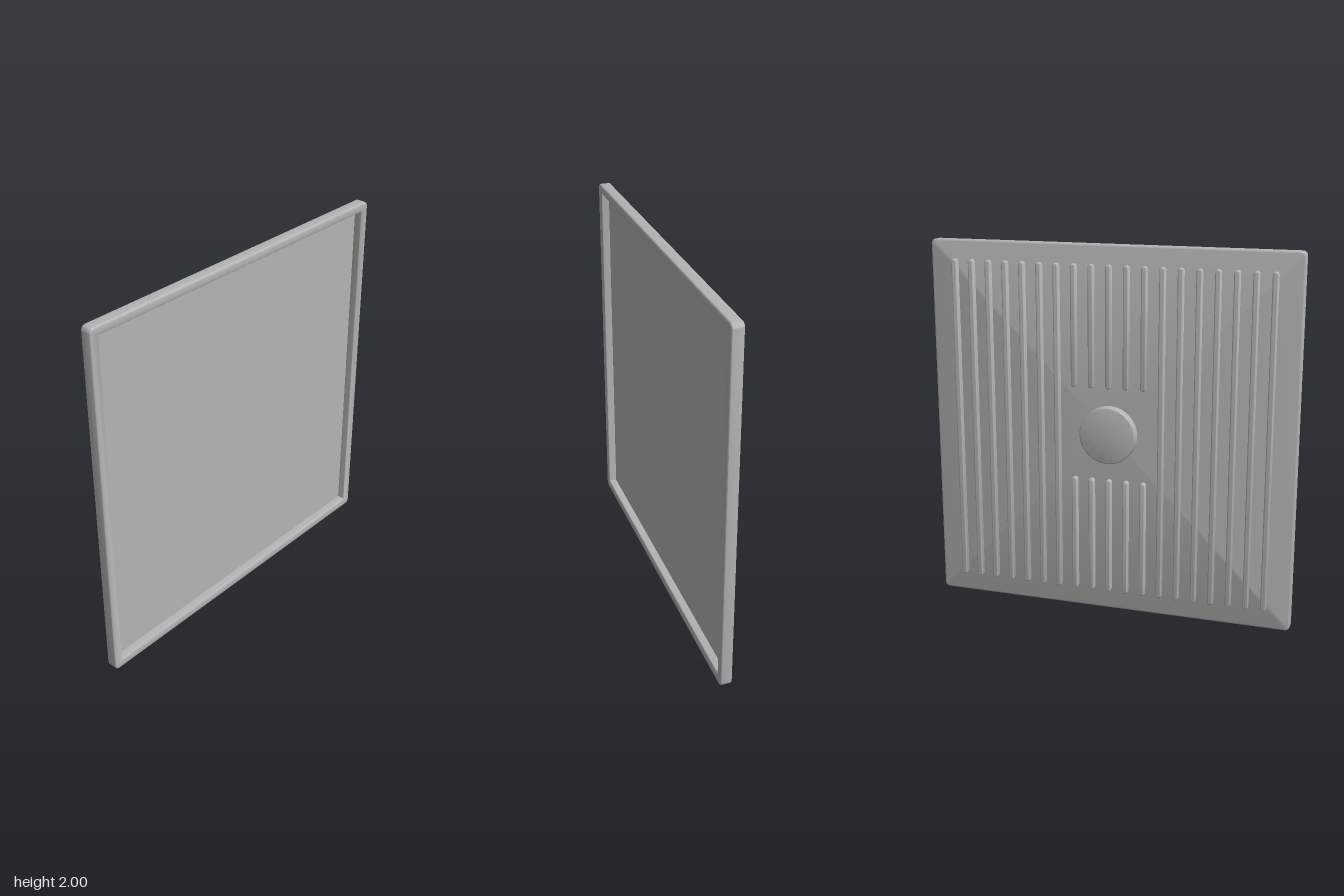
import * as THREE from 'three';
import { toCreasedNormals } from 'three/addons/utils/BufferGeometryUtils.js';

// Rounded rectangle outline, counter-clockwise seen from +z
function ring(hx, hy, r, z, steps) {
  const pts = [];
  [[1, 1], [-1, 1], [-1, -1], [1, -1]].forEach(([sx, sy], q) => {
    for (let i = 0; i <= steps; i++) {
      const a = (q + i / steps) * Math.PI / 2;
      pts.push(new THREE.Vector3(sx * (hx - r) + r * Math.cos(a), sy * (hy - r) + r * Math.sin(a), z));
    }
  });
  return pts;
}

// Closed solid through successive outlines [inset, z] of one rounded rectangle
function loft(hx, hy, r, sections, steps) {
  const rings = sections.map(([inset, z]) => ring(hx - inset, hy - inset, Math.max(r - inset, 0.002), z, steps));
  const pos = [], n = rings[0].length;
  const ab = new THREE.Vector3(), ac = new THREE.Vector3();
  const tri = (a, b, c) => {
    ab.subVectors(b, a).cross(ac.subVectors(c, a));
    if (ab.length() > 1e-9) pos.push(...a.toArray(), ...b.toArray(), ...c.toArray());
  };
  const first = rings[0], last = rings[rings.length - 1];
  const c0 = new THREE.Vector3(0, 0, first[0].z), c1 = new THREE.Vector3(0, 0, last[0].z);
  for (let j = 0; j < n; j++) {
    const k = (j + 1) % n;
    tri(c0, first[k], first[j]);
    for (let i = 0; i < rings.length - 1; i++) {
      tri(rings[i][j], rings[i][k], rings[i + 1][k]);
      tri(rings[i][j], rings[i + 1][k], rings[i + 1][j]);
    }
    tri(c1, last[j], last[k]);
  }
  const g = new THREE.BufferGeometry();
  g.setAttribute('position', new THREE.Float32BufferAttribute(pos, 3));
  return toCreasedNormals(g, 0.7);
}

// Quarter-round edge: [inset, z] points about a centre, between two angles
function fillet(inset, z, r, from, to) {
  return [0, 1, 2, 3].map(i => {
    const a = THREE.MathUtils.degToRad(from + (to - from) * i / 3);
    return [inset - r * Math.cos(a), z + r * Math.sin(a)];
  });
}

export function createModel() {
  const model = new THREE.Group();
  model.name = 'ribbedTray';
  const grey = new THREE.MeshStandardMaterial({ color: 0xb4b4b4 });
  grey.name = 'grey';
  const add = (parent, name, geo, x, y) => {
    const m = new THREE.Mesh(geo, grey);
    m.name = name;
    m.position.set(x, y, 0);
    parent.add(m);
  };

  // Shallow tray: rounded back edge, rim, then the recessed front panel
  const back = -0.008, front = 0.055, floor = 0.01, e = 0.008;
  add(model, 'tray', loft(1, 1, 0.025, [
    ...fillet(e, back + e, e, -90, 0),
    ...fillet(e, front - e, e, 0, 90),
    ...fillet(0.04, front - e, e, 90, 180),
    [0.048, floor],
  ], 5), 0, 1);

  // Vertical ribs on the back; the middle five break around the boss
  const ribs = new THREE.Group();
  ribs.name = 'ribs';
  model.add(ribs);
  const w = 0.015, low = 0.105, high = 1.9, gapLow = 0.75, gapHigh = 1.25;
  const ribSections = [...fillet(0.007, -0.032, 0.007, -90, 0), [0, 0]];
  const rib = (x, y0, y1) =>
    add(ribs, 'rib', loft(w, (y1 - y0) / 2, w, ribSections, 4), x, (y0 + y1) / 2);
  for (let i = -9; i <= 9; i++) {
    const x = i * 0.0955;
    if (Math.abs(i) > 2) rib(x, low, high);
    else {
      rib(x, low, gapLow);
      rib(x, gapHigh, high);
    }
  }

  // Round boss at the centre of the back
  add(model, 'boss', loft(0.155, 0.155, 0.155, [...fillet(e, -0.055 + e, e, -90, 0), [0, 0]], 12), 0, 1);
  return model;
}
